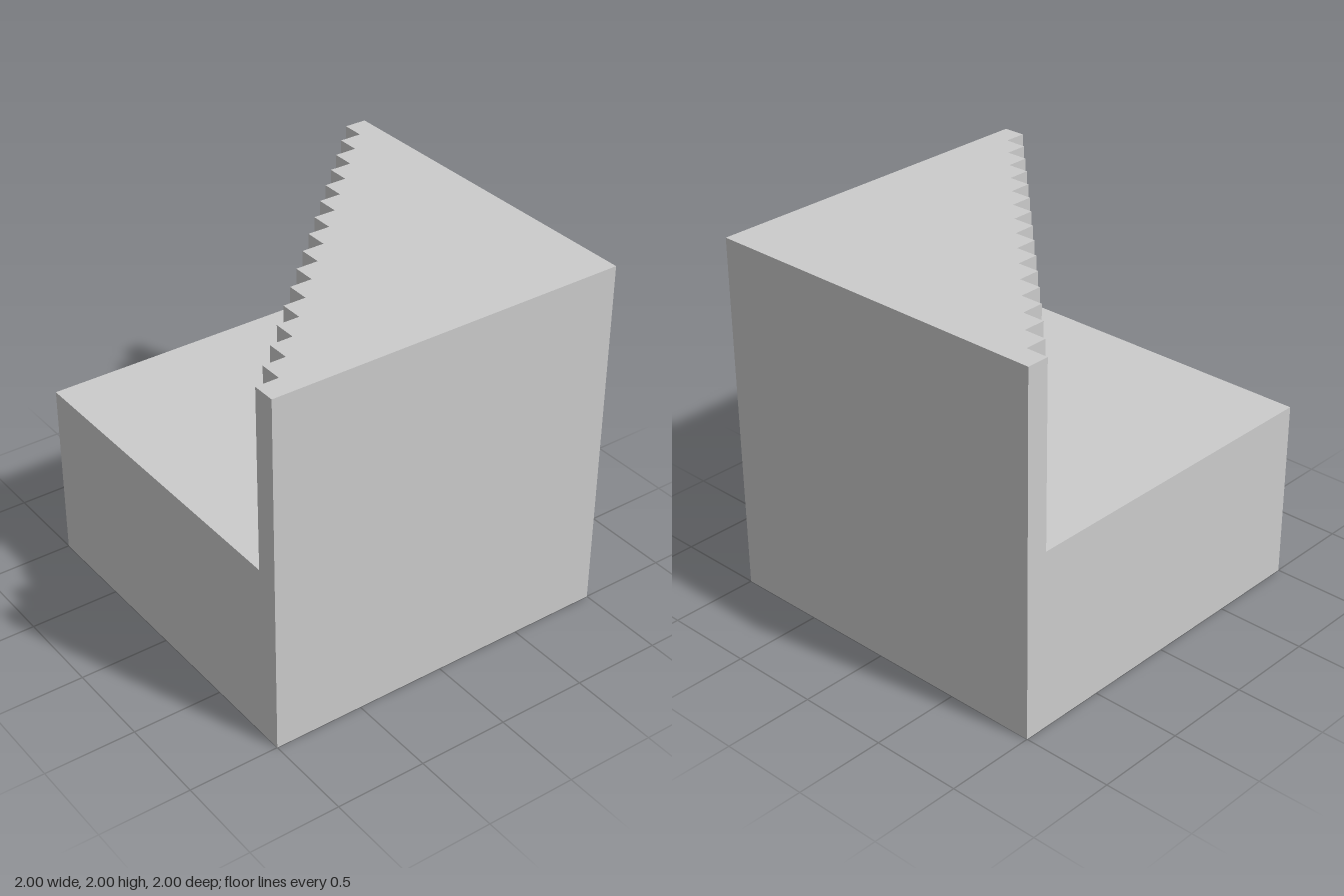
import * as THREE from 'three';

const STEPS = 16;
const STEP = 2 / STEPS;

export function createModel() {
  const group = new THREE.Group();
  const material = new THREE.MeshStandardMaterial({ color: 0xcccccc, flatShading: true });

  // lower half: a full square slab
  const base = new THREE.Mesh(new THREE.BoxGeometry(2, 1, 2).translate(0, 0.5, 0), material);
  base.name = 'baseBlock';
  group.add(base);

  // upper half: plan fills the front left corner, with a zigzag diagonal wall
  // (shape y becomes -z once laid flat)
  const plan = new THREE.Shape();
  plan.moveTo(-1, -1);
  plan.lineTo(1, -1);
  plan.lineTo(1, 1);
  for (let i = 0; i < STEPS; i++) {
    const x = 1 - (i + 1) * STEP;
    plan.lineTo(x, 1 - i * STEP);
    if (i < STEPS - 1) plan.lineTo(x, 1 - (i + 1) * STEP);
  }
  plan.closePath();
  const upperGeometry = new THREE.ExtrudeGeometry(plan, { depth: 1, bevelEnabled: false });
  upperGeometry.rotateX(-Math.PI / 2).translate(0, 1, 0);
  const upper = new THREE.Mesh(upperGeometry, material);
  upper.name = 'zigzagUpperBlock';
  group.add(upper);

  return group;
}
